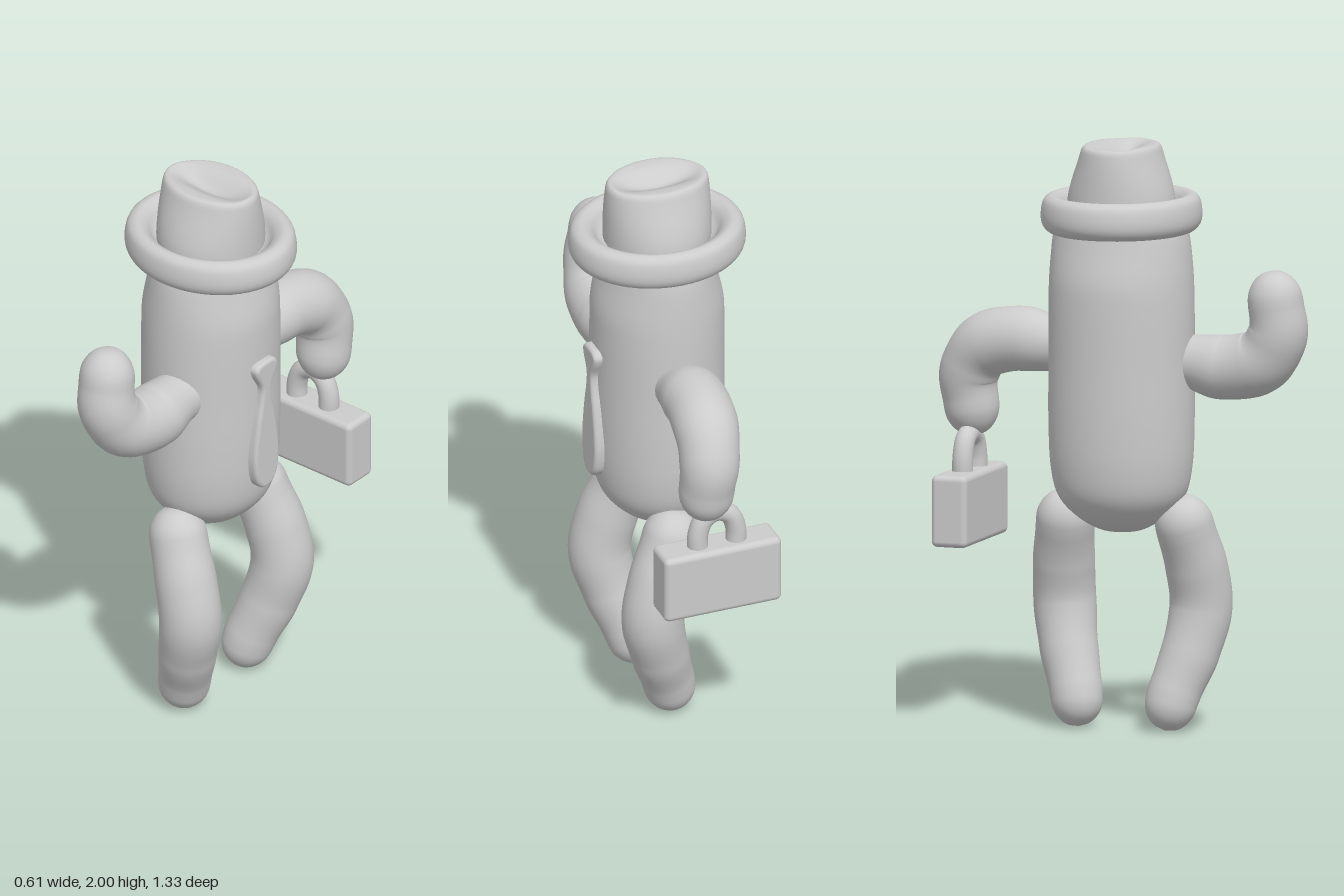
import * as THREE from 'three';
import { mergeVertices } from 'three/addons/utils/BufferGeometryUtils.js';
import { RoundedBoxGeometry } from 'three/addons/geometries/RoundedBoxGeometry.js';

const grey = new THREE.MeshStandardMaterial({ color: 0xcccccc });
const V = (p) => new THREE.Vector3(...p);
const V2 = (p) => new THREE.Vector2(...p);

// Weld seams and rebuild smooth normals
function smooth(geo) {
  geo.deleteAttribute('uv');
  geo.deleteAttribute('normal');
  const g = mergeVertices(geo, 1e-5);
  g.computeVertexNormals();
  return g;
}

// Round-ended tube through tip-to-tip points with a changing radius
function limb(points, radii, segs = 110, sides = 28) {
  const curve = new THREE.CatmullRomCurve3(points.map(V));
  const length = curve.getLength();
  const geo = new THREE.TubeGeometry(curve, segs, 1, sides);
  const pos = geo.attributes.position, p = new THREE.Vector3();
  for (let i = 0; i <= segs; i++) {
    const t = i / segs, c = curve.getPointAt(t);
    const f = t * (radii.length - 1), k = Math.min(Math.floor(f), radii.length - 2);
    let r = THREE.MathUtils.lerp(radii[k], radii[k + 1], THREE.MathUtils.smoothstep(f - k, 0, 1));
    const d = Math.min(t, 1 - t) * length;
    if (d < r) r *= Math.sqrt(Math.max(0, 1 - (1 - d / r) ** 2));
    for (let j = 0; j <= sides; j++) {
      const n = i * (sides + 1) + j;
      p.fromBufferAttribute(pos, n).sub(c).multiplyScalar(r).add(c);
      pos.setXYZ(n, p.x, p.y, p.z);
    }
  }
  return smooth(geo);
}

// Lathe a smooth profile, then bend each vertex by a rule
function turned(profile, rule) {
  const pts = new THREE.SplineCurve(profile.map(V2)).getPoints(70);
  pts.forEach((q) => { q.x = Math.max(0, q.x); });
  const geo = new THREE.LatheGeometry(pts, 56);
  const pos = geo.attributes.position, p = new THREE.Vector3();
  for (let i = 0; i < pos.count; i++) {
    rule(p.fromBufferAttribute(pos, i));
    pos.setXYZ(i, p.x, p.y, p.z);
  }
  return smooth(geo);
}

export function createModel() {
  const model = new THREE.Group();
  const add = (name, geo, parent = model) => {
    const m = new THREE.Mesh(geo, grey);
    m.name = name;
    parent.add(m);
    return m;
  };
  const step = THREE.MathUtils.smoothstep;

  // Oval body, narrowing under the hat
  add('body', turned([[0, 0.675], [0.3, 0.685], [0.62, 0.73], [0.87, 0.8], [0.97, 0.9], [1, 1.05],
    [1, 1.25], [1, 1.45], [0.98, 1.6], [0.93, 1.71], [0.8, 1.78], [0, 1.8]], (p) => {
    p.x *= 0.225 * (1 - 0.13 * step(p.y, 1.5, 1.72));
    p.z *= 0.25;
  }));

  // Hat: rolled oval brim and pinched, creased crown
  const hat = new THREE.Group();
  hat.name = 'hat';
  model.add(hat);
  add('brim', turned([[0, 1.7], [0.12, 1.7], [0.24, 1.7], [0.28, 1.708], [0.302, 1.735], [0.305, 1.775],
    [0.293, 1.815], [0.262, 1.83], [0.23, 1.815], [0.2, 1.78], [0.16, 1.77], [0, 1.77]], (p) => {
    p.z *= 0.88;
  }), hat);
  add('crown', turned([[0.183, 1.75], [0.185, 1.82], [0.185, 1.9], [0.182, 1.96], [0.177, 1.988],
    [0.162, 1.999], [0.13, 2], [0.09, 2], [0.045, 2], [0, 2]], (p) => {
    p.z *= 1 - 0.3 * step(p.y, 1.78, 2.03);
    if (p.y > 1.97) {
      p.y -= 0.045 * Math.exp(-((p.z / 0.05) ** 2)) * Math.max(0, 1 - (p.x / 0.165) ** 2);
    }
  }), hat);

  // Arms: the same bent arm, one raised and one turned over to hang down
  const arm = limb([[0.035, 1.27, 0.1], [0.035, 1.262, 0.24], [0.035, 1.25, 0.38], [0.022, 1.285, 0.5],
    [0.008, 1.38, 0.56], [0, 1.48, 0.555], [0, 1.593, 0.537]], [0.085, 0.092, 0.11, 0.112, 0.103, 0.095, 0.085]);
  add('raisedArm', arm);
  const hanging = add('hangingArm', arm);
  hanging.position.set(0.04, 2.565, 0);
  hanging.rotation.z = Math.PI;
  // Reflect across the body by turning the whole arm half way round
  hanging.scale.set(1, 1, -1);

  // Bowed legs, mirrored
  for (const s of [1, -1]) {
    add(s > 0 ? 'rightLeg' : 'leftLeg', limb([[0.005, 0.805, 0.2 * s], [0.035, 0.7, 0.215 * s],
      [0.085, 0.56, 0.238 * s], [0.112, 0.42, 0.245 * s], [0.08, 0.27, 0.22 * s],
      [0.03, 0.12, 0.175 * s], [0, 0.003, 0.155 * s]], [0.095, 0.1, 0.106, 0.107, 0.1, 0.091, 0.082]));
  }

  // Necktie: soft slab on the chest
  const half = [[0.02, 0.882], [0.05, 0.915], [0.063, 0.975], [0.062, 1.04], [0.047, 1.14], [0.027, 1.23],
    [0.025, 1.28], [0.05, 1.33], [0.055, 1.36], [0.03, 1.378]];
  const outline = new THREE.SplineCurve([...half, ...half.map(([x, y]) => [-x, y]).reverse(), half[0]].map(V2));
  const tie = new THREE.ExtrudeGeometry(new THREE.Shape(outline.getPoints(90).slice(0, -1)), {
    depth: 0.03, bevelThickness: 0.014, bevelSize: 0.012, bevelOffset: -0.012, bevelSegments: 4, curveSegments: 4,
  });
  tie.rotateY(Math.PI / 2);
  tie.translate(0.206, 0, 0);
  add('necktie', smooth(tie));

  // Briefcase with an arched handle
  const bag = new THREE.Group();
  bag.name = 'briefcase';
  bag.position.z = -0.546;
  model.add(bag);
  add('case', new RoundedBoxGeometry(0.425, 0.245, 0.128, 5, 0.02), bag).position.set(-0.002, 0.742, 0);
  add('handle', limb([[-0.068, 0.82, 0], [-0.068, 0.91, 0], [-0.045, 0.965, 0], [0, 0.985, 0],
    [0.045, 0.965, 0], [0.068, 0.91, 0], [0.068, 0.82, 0]], [0.036, 0.034, 0.036], 60, 18), bag);

  return model;
}
